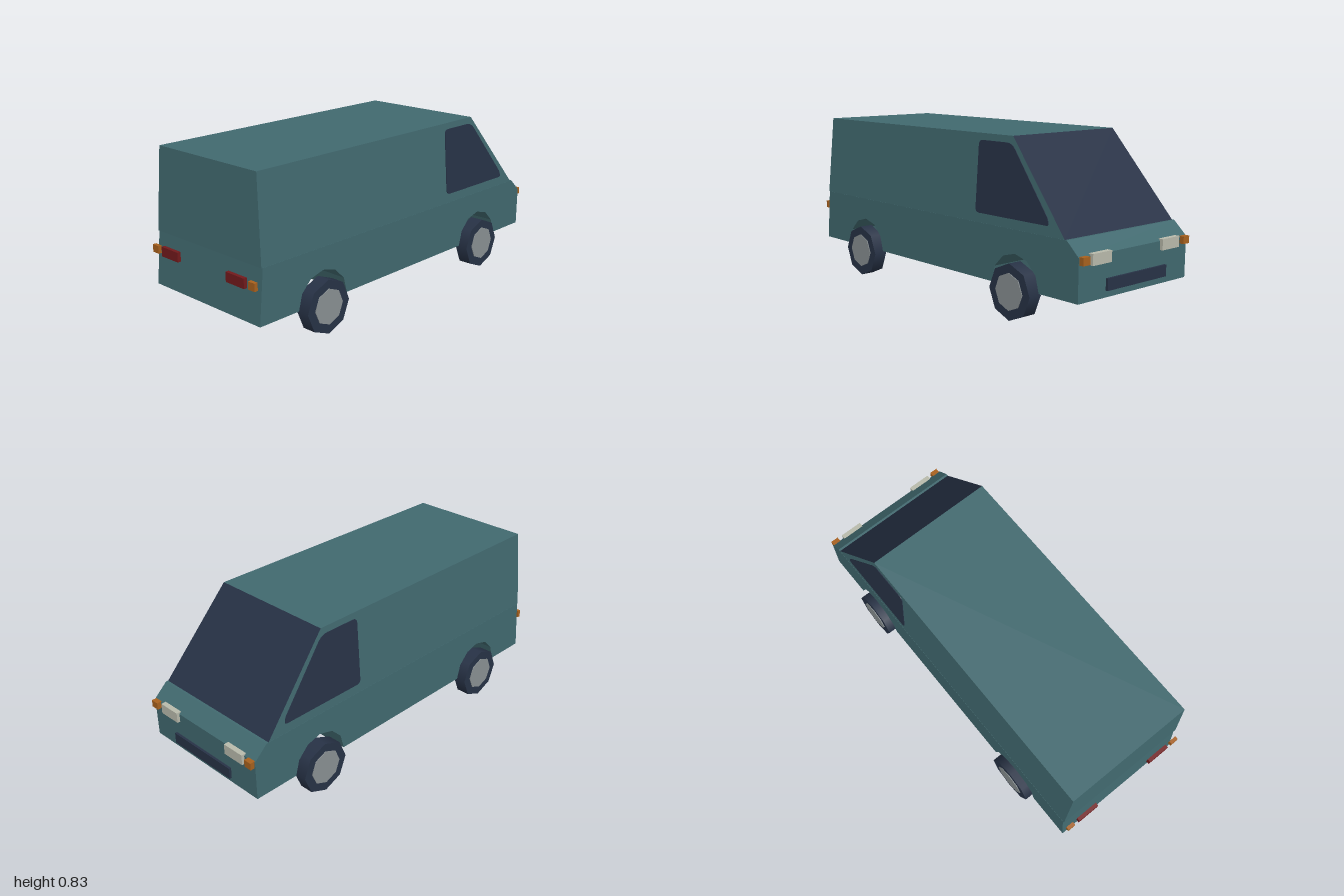
import * as THREE from 'three';

const mat = (name, color) => {
  const m = new THREE.MeshStandardMaterial({ color });
  m.name = name;
  return m;
};

export function createModel() {
  const van = new THREE.Group();
  van.name = 'van';
  const teal = mat('teal paint', 0x41696f);
  const navy = mat('dark navy', 0x273246);
  const grey = mat('hub grey', 0x899092);
  const cream = mat('headlight cream', 0xb8baab);
  const orange = mat('indicator orange', 0xa8611e);
  const red = mat('tail light red', 0x721a1c);

  const add = (name, geometry, material, x = 0, y = 0, z = 0) => {
    const mesh = new THREE.Mesh(geometry, material);
    mesh.name = name;
    mesh.position.set(x, y, z);
    van.add(mesh);
    return mesh;
  };
  // box given by its limits on each axis
  const block = (name, material, x0, x1, y0, y1, z0, z1) =>
    add(name, new THREE.BoxGeometry(x1 - x0, y1 - y0, z1 - z0), material,
      (x0 + x1) / 2, (y0 + y1) / 2, (z0 + z1) / 2);

  const axles = [-0.595, 0.587];
  const halfWidth = 0.367, waist = 0.415, sill = 0.15, roof = 0.83;

  // Lower body: side profile with faceted wheel arches running right across
  const lower = new THREE.Shape();
  lower.moveTo(-0.98, sill);
  for (const cx of axles) {
    for (let i = 0; i <= 6; i++) {
      const a = Math.PI * (1 - i / 6);
      lower.lineTo(cx + 0.155 * Math.cos(a), sill + 0.155 * Math.sin(a));
    }
  }
  lower.lineTo(0.976, sill);
  lower.lineTo(0.978, 0.35);
  lower.lineTo(0.907, waist);
  lower.lineTo(-0.955, waist);
  lower.closePath();
  const lowerGeo = new THREE.ExtrudeGeometry(lower, { depth: 2 * halfWidth, bevelEnabled: false });
  lowerGeo.translate(0, 0, -halfWidth);
  add('lowerBody', lowerGeo, teal);

  // Upper body: tapered box whose sloping front face is the windscreen
  const sideZ = y => 0.366 - (y - waist) * 0.0735;
  const upperGeo = new THREE.BoxGeometry(2, 2, 2);
  const p = upperGeo.attributes.position;
  for (let i = 0; i < p.count; i++) {
    const top = p.getY(i) > 0, front = p.getX(i) > 0;
    const y = top ? roof : waist;
    const x = front ? (top ? 0.54 : 0.895) : (top ? -0.947 : -0.962);
    p.setXYZ(i, x, y, Math.sign(p.getZ(i)) * sideZ(y));
  }
  upperGeo.computeVertexNormals();
  add('upperBody', upperGeo, [navy, teal, teal, teal, teal, teal]);

  // Cab side windows: rounded outline, leaned to lie on the body side
  const corners = [[0.315, 0.46], [0.795, 0.46], [0.79, 0.49], [0.538, 0.798], [0.315, 0.798]]
    .map(c => new THREE.Vector2(...c));
  const radii = [0.025, 0.012, 0.015, 0.035, 0.025];
  const pane = new THREE.Shape();
  corners.forEach((c, i) => {
    const toward = q => c.clone().add(q.clone().sub(c).setLength(radii[i]));
    const a = toward(corners[(i + 4) % 5]), b = toward(corners[(i + 1) % 5]);
    if (i === 0) pane.moveTo(a.x, a.y);
    else pane.lineTo(a.x, a.y);
    pane.quadraticCurveTo(c.x, c.y, b.x, b.y);
  });
  pane.closePath();
  for (const s of [1, -1]) {
    const geo = new THREE.ExtrudeGeometry(pane, { depth: 0.006, bevelEnabled: false, curveSegments: 4 });
    const q = geo.attributes.position;
    for (let i = 0; i < q.count; i++) q.setZ(i, q.getZ(i) - 0.003 + s * sideZ(q.getY(i)));
    geo.computeVertexNormals();
    add(s > 0 ? 'leftWindow' : 'rightWindow', geo, navy);
  }

  // Wheels: eight-sided tyres with slightly proud hubs
  const disc = (r, w) => new THREE.CylinderGeometry(r, r, w, 8).rotateX(Math.PI / 2);
  for (const x of axles) {
    for (const s of [1, -1]) {
      add('tyre', disc(0.133, 0.07), navy, x, 0.133, s * 0.366);
      add('hub', disc(0.088, 0.078), grey, x, 0.135, s * 0.366);
    }
  }

  // Lamps on both sides, front and rear
  for (const s of [1, -1]) {
    const lamp = (name, m, x0, x1, y0, y1, z0, z1) =>
      block(name, m, x0, x1, y0, y1, Math.min(s * z0, s * z1), Math.max(s * z0, s * z1));
    lamp('headlight', cream, 0.965, 0.993, 0.308, 0.36, 0.174, 0.295);
    lamp('frontIndicator', orange, 0.972, 1, 0.318, 0.354, 0.32, 0.362);
    lamp('tailLight', red, -1, -0.982, 0.312, 0.36, 0.172, 0.293);
    lamp('rearIndicator', orange, -1, -0.982, 0.318, 0.356, 0.32, 0.362);
  }

  // Front grille, standing just clear of the nose
  block('grille', navy, 0.984, 0.996, 0.184, 0.239, -0.201, 0.201);

  return van;
}
